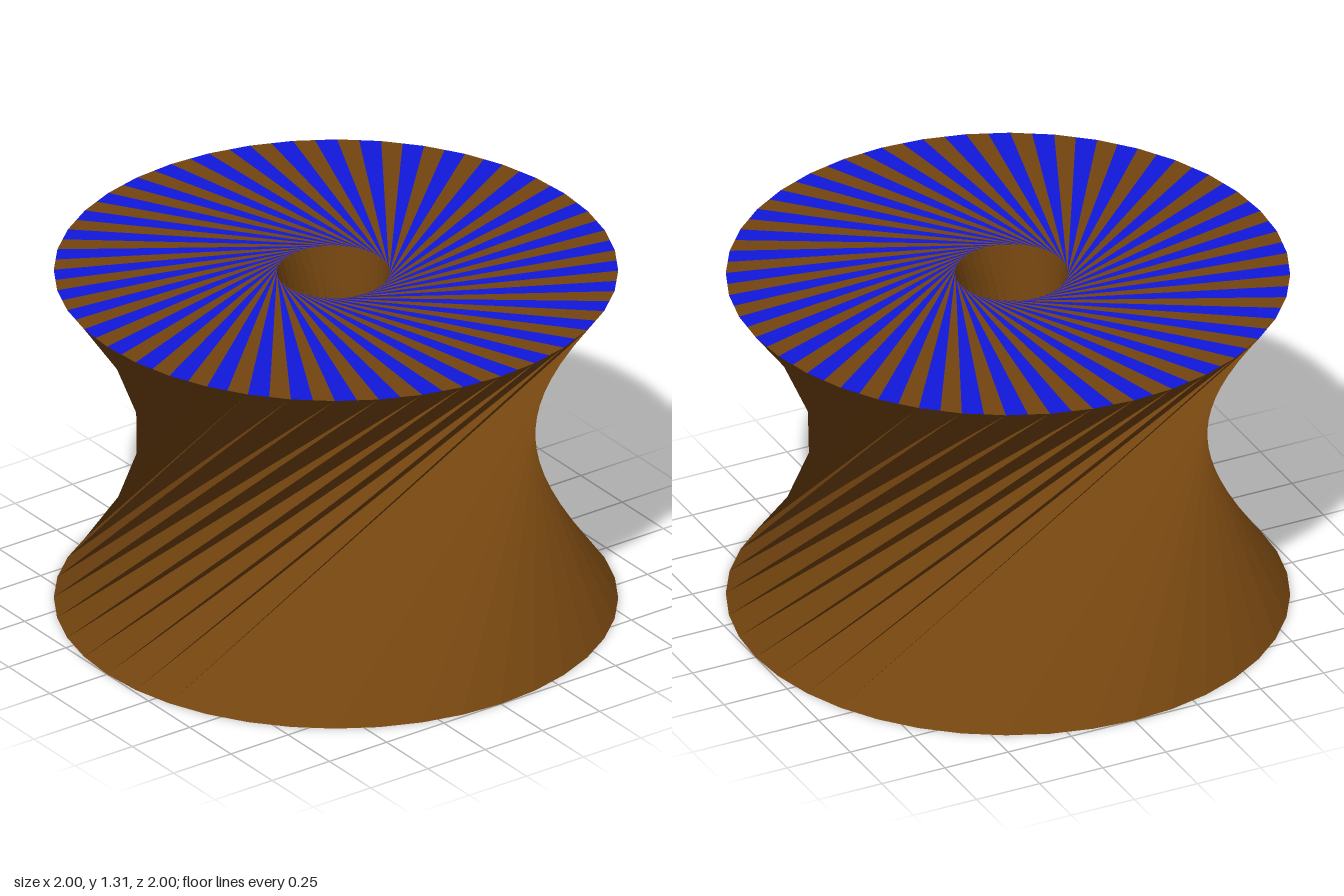
import * as THREE from 'three';

const SIDES = 40, STEP = (Math.PI * 2) / SIDES;
const HEIGHT = 1.31, RADIUS = 1, HOLE = 0.2;
const TWIST = Math.PI / 2;
const HOLE_X = -0.015, HOLE_Z = 0.004;

const brown = new THREE.MeshStandardMaterial({ color: 0x74450f, flatShading: true, side: THREE.DoubleSide });
const blue = new THREE.MeshStandardMaterial({ color: 0x1018dc, flatShading: true, side: THREE.DoubleSide });

// Point on a rim; the angle runs from the front (+z) towards +x.
function rimPoint(radius, angle, y, x = 0, z = 0) {
  return new THREE.Vector3(x + radius * Math.sin(angle), y, z + radius * Math.cos(angle));
}

function triangleMesh(name, points, material) {
  const geometry = new THREE.BufferGeometry().setFromPoints(points);
  geometry.computeVertexNormals();
  const mesh = new THREE.Mesh(geometry, material);
  mesh.name = name;
  return mesh;
}

// Wall of straight slanted strips between two rims, the upper one turned by TWIST.
function twistedWall(name, radius, inward, x = 0, z = 0) {
  const points = [];
  for (let i = 0; i < SIDES; i++) {
    const a = i * STEP;
    const b0 = rimPoint(radius, a, 0, x, z);
    const b1 = rimPoint(radius, a + STEP, 0, x, z);
    const t0 = rimPoint(radius, a + TWIST, HEIGHT, x, z);
    const t1 = rimPoint(radius, a + TWIST + STEP, HEIGHT, x, z);
    if (inward) points.push(b0, t0, t1, b0, t1, b1);
    else points.push(b0, t1, t0, b0, b1, t1);
  }
  return triangleMesh(name, points, brown);
}

// Point on the straight-sided outer rim, halfway along an edge when k is odd.
function outerPoint(k) {
  const i = Math.floor(k / 2);
  const p = rimPoint(RADIUS, i * STEP, HEIGHT);
  return k % 2 ? p.lerp(rimPoint(RADIUS, (i + 1) * STEP, HEIGHT), 0.5) : p;
}

// Every second swirling stripe of the top ring.
function topStripes(name, offset, material) {
  const swirl = THREE.MathUtils.degToRad(72);
  const inner = (k) => rimPoint(HOLE, (k * STEP) / 2 - swirl, HEIGHT, HOLE_X, HOLE_Z);
  const points = [];
  for (let k = offset; k < SIDES * 2; k += 2) {
    const o0 = outerPoint(k), o1 = outerPoint(k + 1);
    const n0 = inner(k), n1 = inner(k + 1);
    points.push(n0, o0, o1, n0, o1, n1);
  }
  return triangleMesh(name, points, material);
}

export function createModel() {
  const model = new THREE.Group();
  model.name = 'twistedDrum';

  // Outer body and central shaft
  model.add(twistedWall('outerWall', RADIUS, false));
  model.add(twistedWall('shaftWall', HOLE, true, HOLE_X, HOLE_Z));

  // Striped top ring
  model.add(topStripes('blueTopStripes', 0, blue));
  model.add(topStripes('brownTopStripes', 1, brown));

  // Closed base, also the floor of the shaft
  const base = new THREE.Mesh(new THREE.CircleGeometry(RADIUS, SIDES), brown);
  base.rotation.x = Math.PI / 2;
  base.name = 'base';
  model.add(base);

  return model;
}
